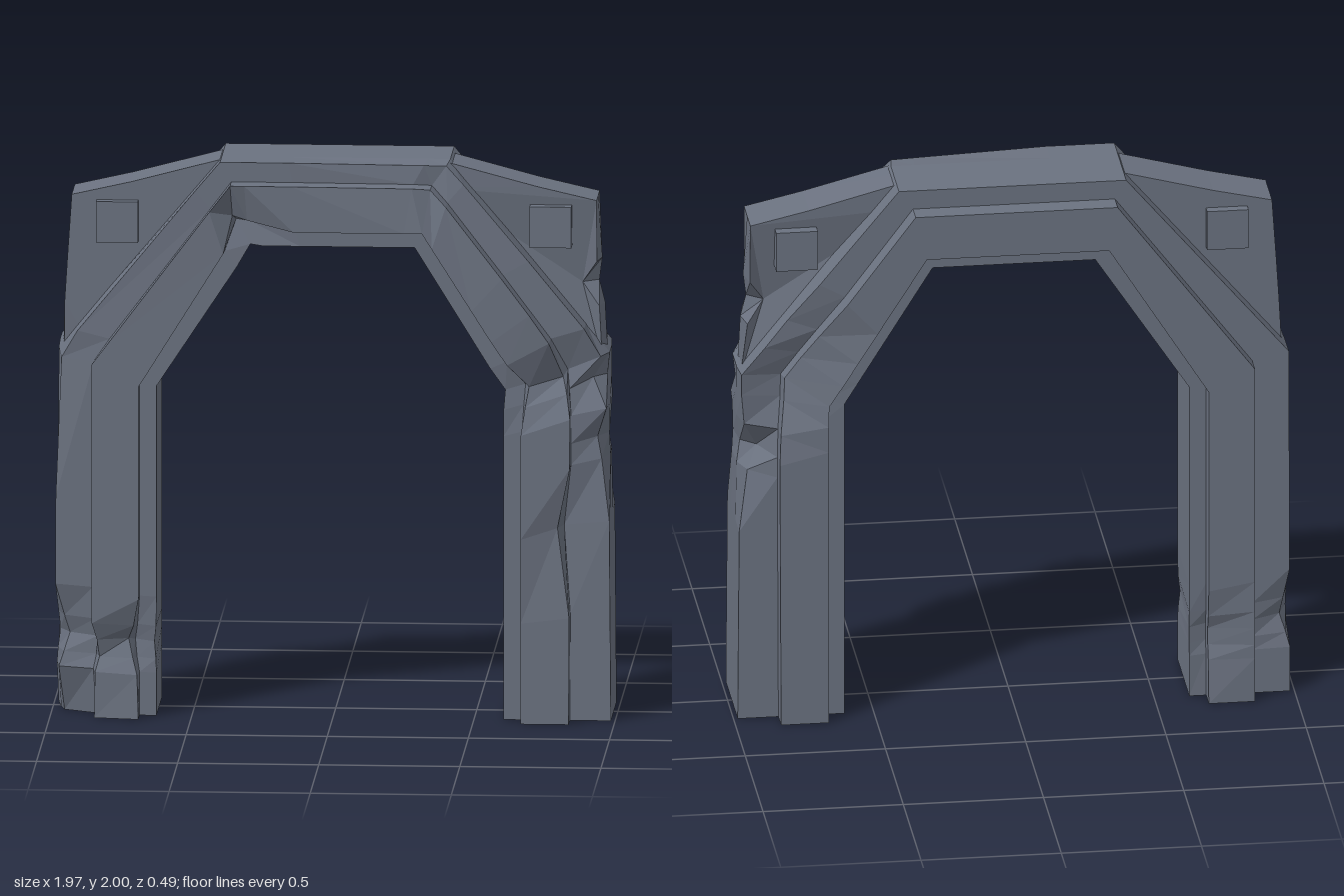
import * as THREE from 'three';

const stone = new THREE.MeshStandardMaterial({ color: 0x6b7280, flatShading: true, side: THREE.DoubleSide });
stone.name = 'grey stone';

// Four rails along the arch, from left foot over the top to the right foot.
const RAILS = [
  [[-0.985, 0], [-0.98, 1.31], [-0.4, 2], [0.41, 2], [0.975, 1.31], [0.985, 0]],        // outer edge
  [[-0.85, 0], [-0.85, 1.28], [-0.36, 1.93], [0.36, 1.93], [0.845, 1.28], [0.84, 0]],   // band outer
  [[-0.685, 0], [-0.685, 1.2], [-0.33, 1.765], [0.32, 1.765], [0.67, 1.21], [0.67, 0]], // band inner
  [[-0.625, 0], [-0.625, 1.19], [-0.29, 1.7], [0.29, 1.7], [0.605, 1.19], [0.605, 0]],  // opening
];

// Cross-section as [rail, z], going round the stone.
const CORE = 0.168, BAND = 0.245;
const SECTION = [
  [0, CORE], [1, CORE], [1, BAND], [2, BAND], [2, CORE], [3, CORE],
  [3, -CORE], [2, -CORE], [2, -BAND], [1, -BAND], [1, -CORE], [0, -CORE], [0, -0.06], [0, 0.06],
];

// Extra cross-sections in each run, closest together where the stone is chipped.
const STATIONS = [
  [0, 0.13, 0.17, 0.22, 0.27, 0.36, 0.6],
  [0, 0.12, 0.85],
  [0, 0.07, 0.3, 0.9],
  [0, 0.1, 0.5, 0.7, 0.85],
  [0, 0.06, 0.14, 0.22, 0.28, 0.45, 0.7, 1],
];

// Chips: centre, radius and the push at the centre.
const CHIPS = [
  [[-0.98, 0, 0.17], 0.2, [0.03, 0, -0.09]],
  [[-0.96, 0.29, 0.17], 0.14, [0.06, 0, -0.06]],
  [[-0.97, 0.3, -0.17], 0.12, [0.04, 0, 0.04]],
  [[-0.69, 0.26, 0.24], 0.12, [-0.04, 0.02, -0.06]],
  [[-0.84, 0.23, 0.24], 0.1, [0.03, 0, -0.05]],
  [[-0.72, 0.24, -0.24], 0.13, [0, 0.02, 0.05]],
  [[-0.96, 1.31, 0.17], 0.13, [0.02, -0.03, -0.03]],
  [[-0.33, 1.78, 0.23], 0.12, [-0.03, 0.06, -0.06]],
  [[0.38, 1.96, 0.22], 0.14, [-0.02, -0.02, -0.06]],
  [[0.85, 1.28, 0.24], 0.14, [-0.03, -0.04, -0.08]],
  [[0.67, 1.2, 0.24], 0.12, [0.03, 0, -0.05]],
  [[0.97, 1.24, 0.17], 0.13, [-0.06, 0, -0.06]],
  [[0.84, 1.26, -0.24], 0.2, [-0.03, 0.03, 0.08]],
  [[0.98, 1.02, -0.17], 0.14, [-0.07, 0, 0.08]],
  [[0.98, 1.0, 0.17], 0.12, [-0.05, 0, -0.04]],
  [[0.84, 0.72, 0.24], 0.14, [-0.05, 0, -0.03]],
  [[0.76, 1.45, -0.24], 0.16, [0, 0, 0.06]],
  [[0.96, 1.56, 0.09], 0.1, [-0.08, 0, -0.05]],
  [[0.96, 1.56, -0.09], 0.1, [-0.08, 0, 0.05]],
];

function chip(geometry) {
  const pos = geometry.attributes.position;
  const p = new THREE.Vector3(), start = new THREE.Vector3();
  for (let i = 0; i < pos.count; i++) {
    start.fromBufferAttribute(pos, i);
    p.copy(start);
    for (const [centre, radius, push] of CHIPS) {
      const d = start.distanceTo(new THREE.Vector3(...centre));
      if (d < radius) p.addScaledVector(new THREE.Vector3(...push), 1 - d / radius);
    }
    pos.setXYZ(i, p.x, Math.max(0, p.y), p.z);
  }
  geometry.computeVertexNormals();
  return geometry;
}

// Arch body: the stepped section swept along the rails, open under the feet.
function archGeometry() {
  const points = [], index = [], n = SECTION.length;
  let rows = 0;
  STATIONS.forEach((ts, run) => {
    for (const t of ts) {
      for (const [rail, z] of SECTION) {
        const a = RAILS[rail][run], b = RAILS[rail][run + 1];
        points.push(a[0] + (b[0] - a[0]) * t, a[1] + (b[1] - a[1]) * t, z);
      }
      rows++;
    }
  });
  for (let r = 0; r < rows - 1; r++) {
    for (let k = 0; k < n; k++) {
      const a = r * n + k, b = r * n + (k + 1) % n;
      index.push(a, b, b + n, a, b + n, a + n);
    }
  }
  const g = new THREE.BufferGeometry();
  g.setAttribute('position', new THREE.Float32BufferAttribute(points, 3));
  g.setIndex(index);
  return chip(g);
}

// Thin corner plate that fills the shoulder outside the arch.
function spandrelGeometry(side) {
  const outline = [[0.4, 1.995], [0.72, 1.91], [0.93, 1.862], [0.945, 1.64], [0.95, 1.56],
    [0.955, 1.48], [0.965, 1.29], [0.86, 1.3], [0.38, 1.9]];
  const shape = new THREE.Shape(outline.map(([x, y]) => new THREE.Vector2(x * side, y)));
  const g = new THREE.ExtrudeGeometry(shape, { depth: 0.18, steps: 2, bevelEnabled: false });
  g.translate(0, 0, -0.09);
  return chip(g);
}

export function createModel() {
  const group = new THREE.Group();
  group.name = 'stone archway';
  const add = (name, geometry) => {
    const mesh = new THREE.Mesh(geometry, stone);
    mesh.name = name;
    group.add(mesh);
    return mesh;
  };

  add('arch', archGeometry());
  for (const side of [-1, 1]) {
    const label = side > 0 ? 'left' : 'right';
    add(label + 'Spandrel', spandrelGeometry(side));
    // Square boss standing out on both faces of the plate
    add(label + 'Boss', new THREE.BoxGeometry(0.148, 0.148, 0.25)).position.set(0.768 * side, 1.77, 0);
  }
  return group;
}
